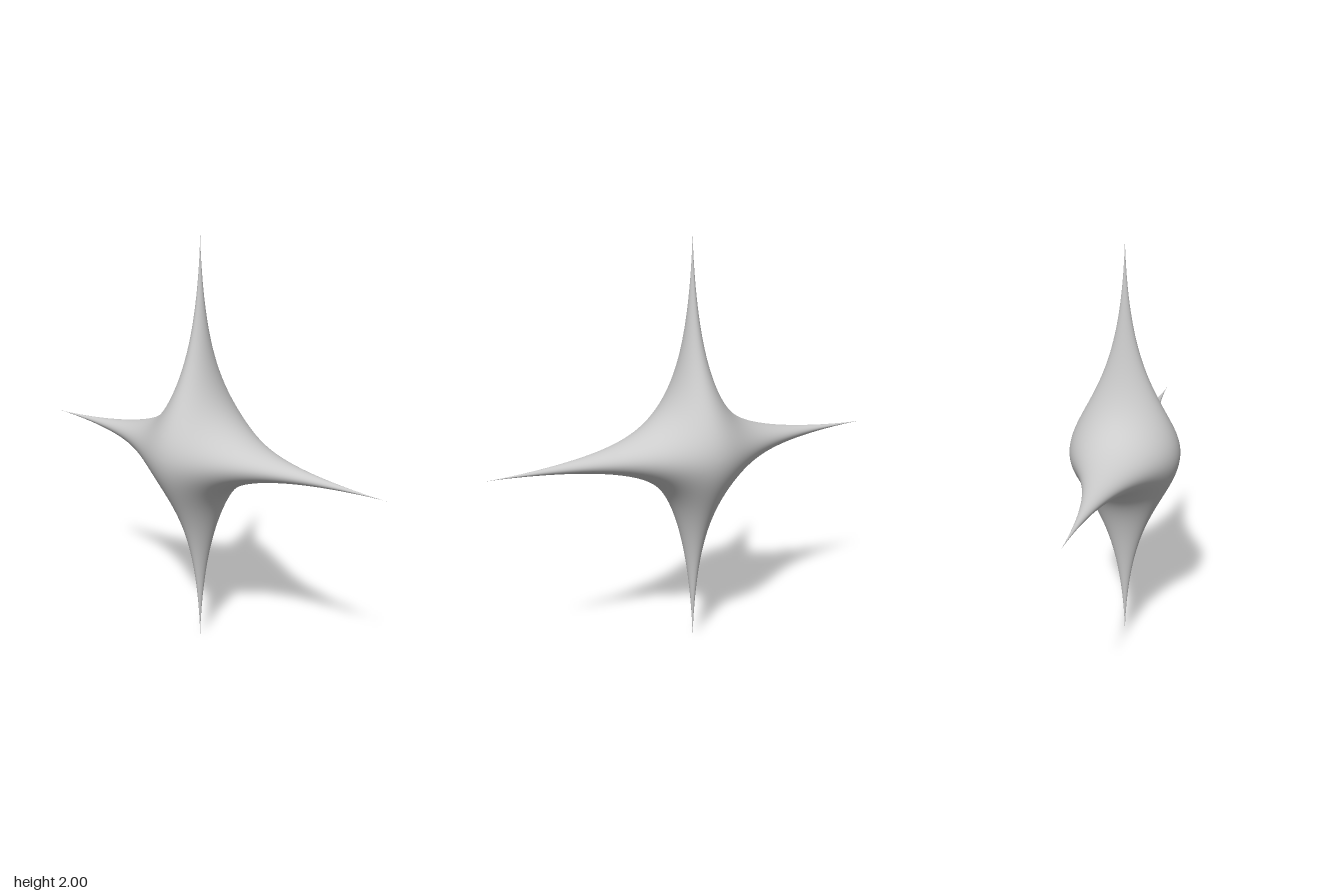
import * as THREE from 'three';
import { mergeVertices } from 'three/addons/utils/BufferGeometryUtils.js';

// Smooth four-armed star: negative inside, positive outside.
function starField(x, y, z) {
  const q = x * x + y * y;
  if (q >= 1) return 1;
  const crotch = 884 * x * x * y * y;                 // pinches the gaps between arms
  const depth = z * z * (14.8 + 210 * q + 700 * q * q); // bulging centre, slim arms
  return crotch + depth - (1 - q) ** 3;               // arms taper to points
}

// Distance from the centre to the surface along a direction.
function surfaceRadius(x, y, z) {
  let lo = 0, hi = 1.001;
  for (let i = 0; i < 40; i++) {
    const mid = (lo + hi) / 2;
    if (starField(x * mid, y * mid, z * mid) < 0) lo = mid;
    else hi = mid;
  }
  return lo;
}

// Crowds grid lines towards zero, where the arms are.
const crowd = (t, power) => Math.sign(t) * Math.abs(t) ** power;

export function createModel() {
  const group = new THREE.Group();
  group.name = 'star';

  let geometry = new THREE.SphereGeometry(1, 224, 144);
  const pos = geometry.attributes.position;
  const uv = geometry.attributes.uv;
  for (let i = 0; i < pos.count; i++) {
    const turn = uv.getX(i) * 4;
    const arm = Math.round(turn);
    const theta = arm * Math.PI / 2 + crowd((turn - arm) * 2, 3) * Math.PI / 4;
    const phi = crowd(uv.getY(i) * 2 - 1, 2.5) * Math.PI / 2;
    const x = Math.cos(theta) * Math.cos(phi);
    const y = Math.sin(theta) * Math.cos(phi);
    const z = Math.sin(phi);
    const r = surfaceRadius(x, y, z);
    pos.setXYZ(i, x * r, y * r, z * r);
  }

  // Weld the seam so the shading stays smooth all round.
  geometry.deleteAttribute('uv');
  geometry.deleteAttribute('normal');
  geometry = mergeVertices(geometry, 1e-6);
  geometry.computeVertexNormals();

  const body = new THREE.Mesh(geometry, new THREE.MeshStandardMaterial({ color: 0xcccccc }));
  body.name = 'starBody';
  body.position.y = 1;
  group.add(body);
  return group;
}
